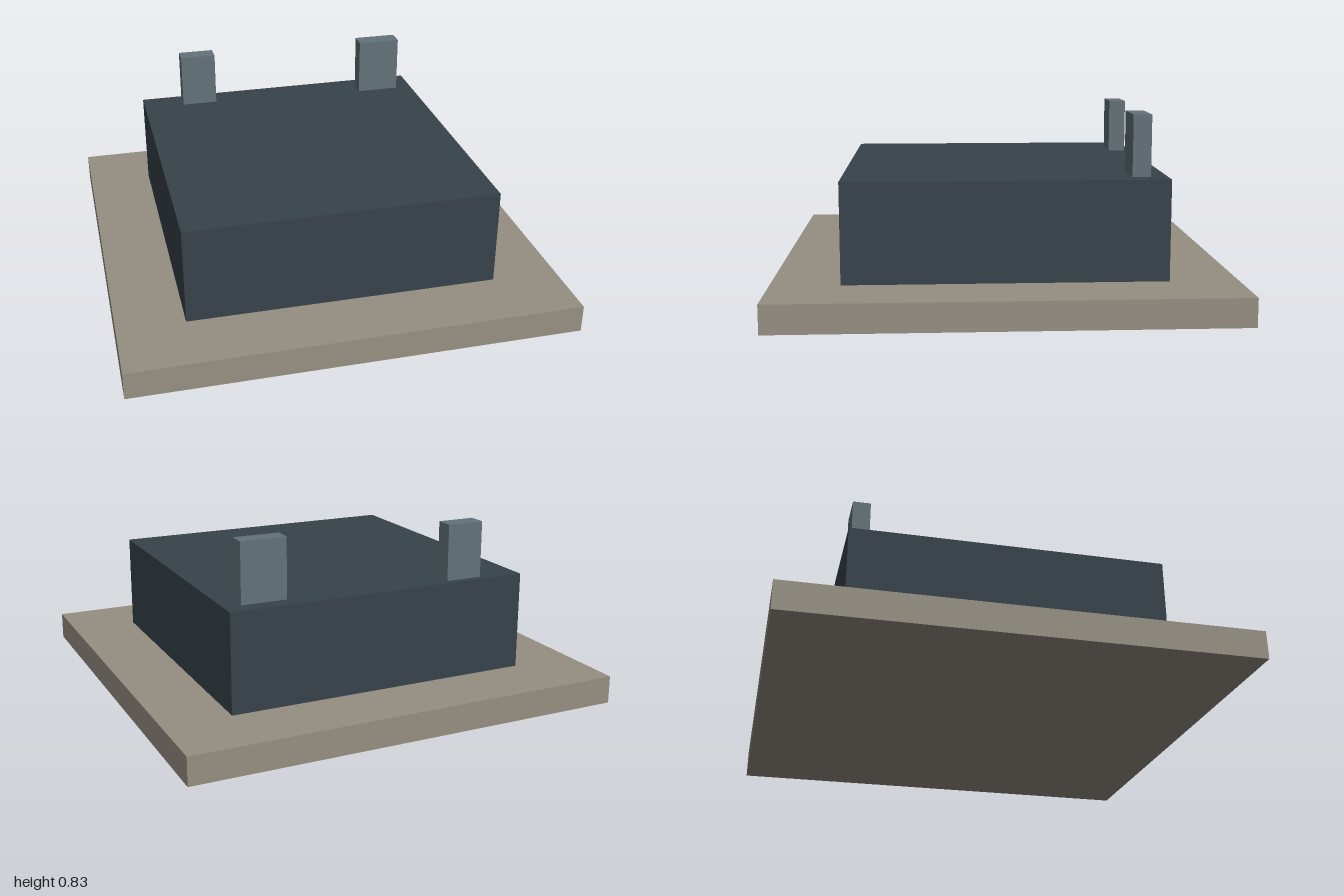
import * as THREE from 'three';

function material(name, color) {
  const m = new THREE.MeshStandardMaterial({ color });
  m.name = name;
  return m;
}

export function createModel() {
  const model = new THREE.Group();
  model.name = 'building';

  const stone = material('warm stone', 0x968f82);
  const slate = material('dark slate', 0x37434a);
  const grey = material('blue grey', 0x637279);

  // Box given by its extents, so stacked parts meet exactly
  function box(name, mat, [x0, x1], [y0, y1], [z0, z1]) {
    const mesh = new THREE.Mesh(new THREE.BoxGeometry(x1 - x0, y1 - y0, z1 - z0), mat);
    mesh.name = name;
    mesh.position.set((x0 + x1) / 2, (y0 + y1) / 2, (z0 + z1) / 2);
    model.add(mesh);
  }

  const baseTop = 0.125;
  const roof = 0.565;

  // Ground slab and main block
  box('baseSlab', stone, [-1, 1], [0, baseTop], [-1, 1]);
  box('mainBlock', slate, [-0.7, 0.7], [baseTop, roof], [-0.7, 0.7]);

  // Two uneven stacks near the back edge of the roof
  box('rightStack', grey, [-0.505, -0.335], [roof, 0.818], [-0.668, -0.588]);
  box('leftStack', grey, [0.417, 0.622], [roof, 0.833], [-0.625, -0.545]);

  return model;
}
